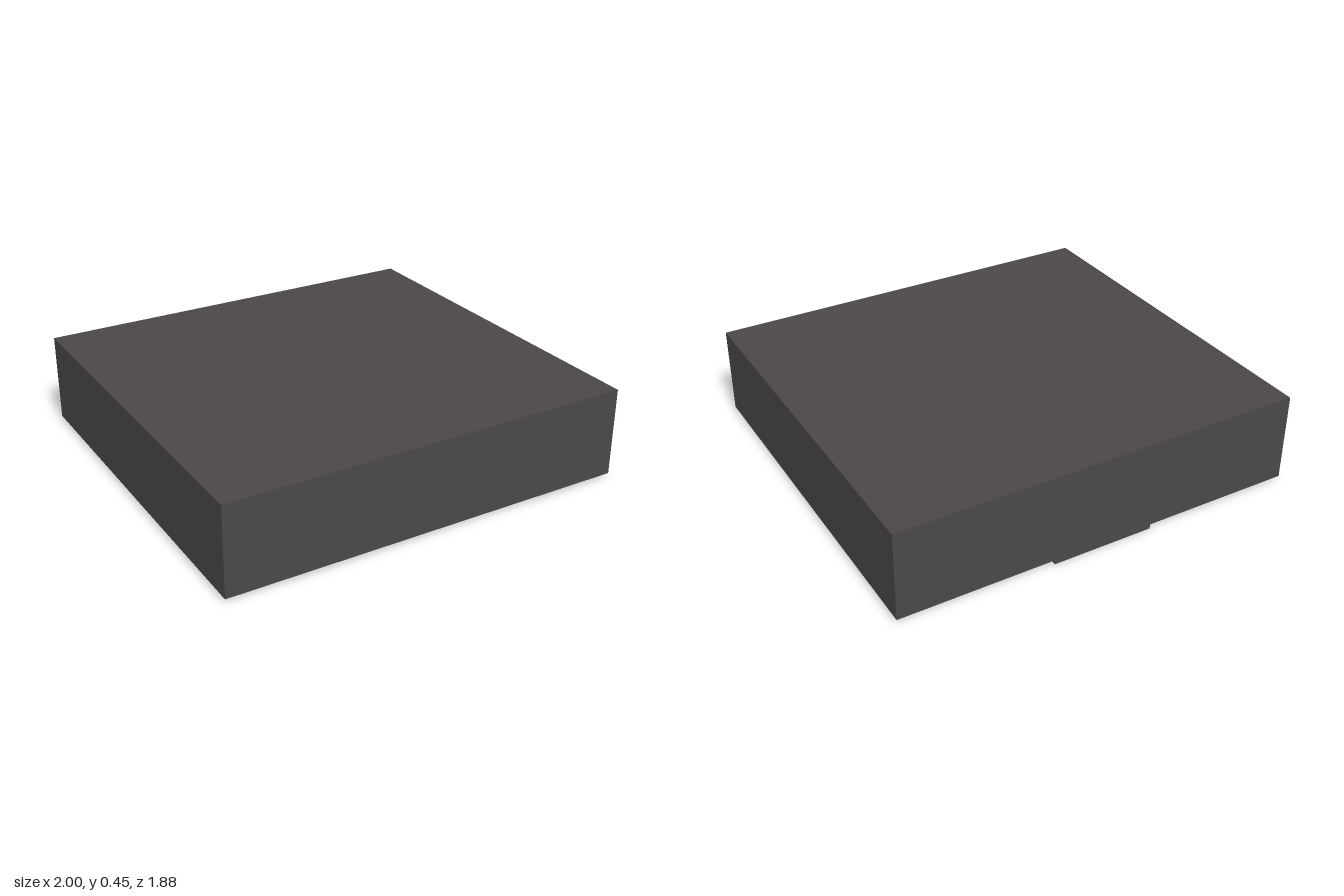
import * as THREE from 'three';

export function createModel() {
  const model = new THREE.Group();
  const charcoal = new THREE.MeshStandardMaterial({ color: 0x4b4749 });
  charcoal.name = 'charcoal';

  function add(name, geometry, x, y, z) {
    const mesh = new THREE.Mesh(geometry, charcoal);
    mesh.name = name;
    mesh.position.set(x, y, z);
    model.add(mesh);
  }

  // Main slab
  add('body', new THREE.BoxGeometry(2, 0.432, 1.872), 0, 0.234, 0);

  // Chamfered underside pad: a disc joined to a square block at the back
  const radius = 0.505, centreZ = -0.06, halfBlock = 0.385, blockBack = -0.6;
  const start = -Math.acos(halfBlock / radius);
  const outline = new THREE.Shape();
  outline.moveTo(halfBlock, blockBack);
  outline.absarc(0, centreZ, radius, start, Math.PI - start, false);
  outline.lineTo(-halfBlock, blockBack);
  outline.closePath();
  const pad = new THREE.ExtrudeGeometry(outline, {
    depth: 0.02, bevelThickness: 0.015, bevelSize: 0.03, bevelSegments: 1, curveSegments: 48,
  });
  pad.rotateX(Math.PI / 2); // the lower bevel shows, the upper one is inside the slab
  pad.rotateZ(Math.PI);
  pad.scale(-1, 1, 1);
  // the mirrored copy needs its corner order reversed
  const p = pad.attributes.position;
  for (let i = 0; i < p.count; i += 3) {
    const a = [p.getX(i), p.getY(i), p.getZ(i)];
    p.setXYZ(i, p.getX(i + 1), p.getY(i + 1), p.getZ(i + 1));
    p.setXYZ(i + 1, ...a);
  }
  pad.computeVertexNormals();
  add('undersidePad', pad, 0, 0.018, 0);

  // Strip running from the pad out past the back edge
  add('backStrip', new THREE.BoxGeometry(0.5, 0.03, 0.53), 0, 0.015, -0.675);

  // Four pins through the slab
  for (const x of [-0.555, 0.555]) {
    for (const z of [0.375, -0.48]) {
      add('pin', new THREE.CylinderGeometry(0.016, 0.016, 0.439, 16), x, 0.2335, z);
    }
  }
  return model;
}
